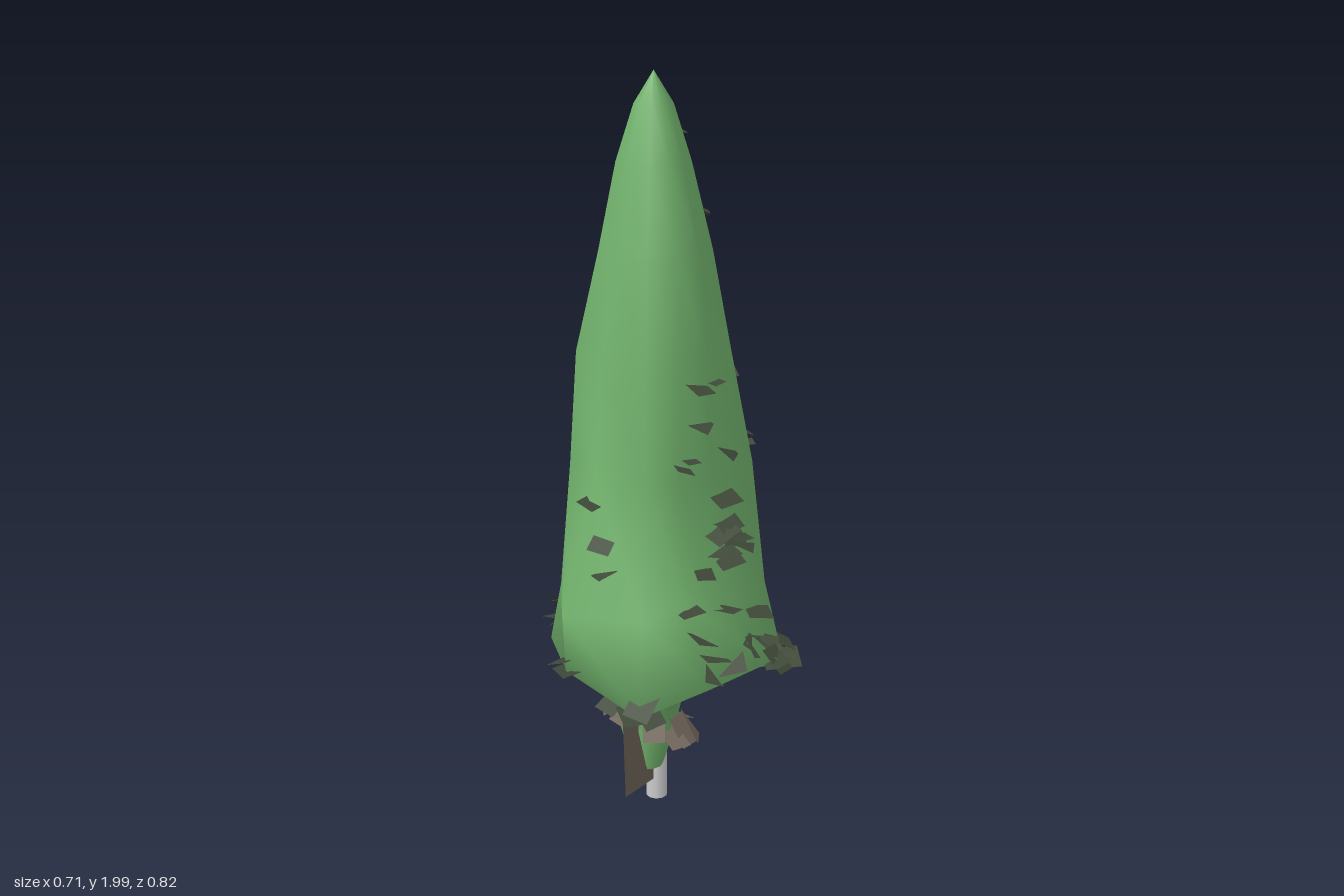
import * as THREE from 'three';
import { mergeGeometries } from 'three/addons/utils/BufferGeometryUtils.js';

// Column directions in degrees, from +z towards +x
const ANGLES = [18, 58, 90, 122, 148, 180, 208, 240, 282, 322, 350];
const COLS = ANGLES.length;

// Foliage sections, top to bottom: height, then one radius for a round section or one per column
const RINGS = [
  [2.0, 0],
  [1.92, .05],
  [1.78, .095],
  [1.56, .15, .15, .16, .15, .14, .13, .14, .14, .13, .16, .15],
  [1.3, .18, .2, .22, .2, .19, .18, .2, .2, .185, .2, .175],
  [1.0, .185, .26, .29, .26, .23, .2, .21, .22, .21, .22, .18],
  [.66, .2, .3, .29, .31, .25, .24, .24, .25, .33, .3, .2],
  [.5, .41, .36, .3, .32, .285, .35, .31, .28, .32, .4, .365],
  [.39, .17],
  [.36, .09],
  [.25, .08],
  [.12, .045],
];
const SKIRT = 7; // ring whose hem rises and falls
const HEM = [.05, -.09, -.05, .12, 0, .03, -.05, 0, 0, -.05, 0];

function ringPoint(row, col) {
  const a = THREE.MathUtils.degToRad(ANGLES[col]);
  const [y, ...radii] = RINGS[row];
  const r = radii[col] ?? radii[0];
  const shift = y < 0.3 ? -0.02 : 0; // the lower stem leans to one side
  return new THREE.Vector3(r * Math.sin(a) + shift, y + (row === SKIRT ? HEM[col] : 0), r * Math.cos(a));
}

// Point on the foliage at a height and a direction in degrees
function surfacePoint(y, degrees) {
  const deg = (degrees + 360) % 360;
  const next = ANGLES.findIndex((a) => a > deg);
  const j = next < 0 ? 0 : next, i = (j + COLS - 1) % COLS;
  const f = ((deg - ANGLES[i] + 360) % 360) / ((ANGLES[j] - ANGLES[i] + 360) % 360);
  const at = (row) => ringPoint(row, i).lerp(ringPoint(row, j), f);
  for (let row = 0; row < SKIRT; row++) {
    const a = at(row), b = at(row + 1);
    if (y >= b.y) return a.lerp(b, (a.y - y) / (a.y - b.y));
  }
  return at(SKIRT);
}

function foliageGeometry() {
  const positions = [], index = [];
  RINGS.forEach((_, row) => {
    for (let i = 0; i < COLS; i++) positions.push(...ringPoint(row, i).toArray());
  });
  for (let row = 0; row < RINGS.length - 1; row++) {
    for (let i = 0; i < COLS; i++) {
      const j = (i + 1) % COLS;
      const a = row * COLS + i, b = a + COLS, c = (row + 1) * COLS + j, d = row * COLS + j;
      index.push(a, b, c);
      if (row > 0) index.push(a, c, d);
    }
  }
  const geometry = new THREE.BufferGeometry();
  geometry.setAttribute('position', new THREE.Float32BufferAttribute(positions, 3));
  geometry.setIndex(index);
  geometry.computeVertexNormals();
  return geometry;
}

// Upright flat quad between two ground points
function plank(a, b, bottomA, bottomB, top) {
  const geometry = new THREE.BufferGeometry();
  geometry.setAttribute('position', new THREE.Float32BufferAttribute([
    a[0], bottomA, a[1], b[0], bottomB, b[1], b[0], top, b[1], a[0] - 0.01, top, a[1]], 3));
  geometry.setIndex([0, 1, 2, 0, 2, 3]);
  geometry.computeVertexNormals();
  return geometry;
}

export function createModel() {
  const group = new THREE.Group();
  const material = (name, color, side = THREE.FrontSide) => {
    const m = new THREE.MeshStandardMaterial({ color, side });
    m.name = name;
    return m;
  };
  const green = material('foliage green', 0x72b36d, THREE.DoubleSide);
  const dark = material('dark leaf', 0x3f4938, THREE.DoubleSide);
  const brown = material('bark brown', 0x70655a, THREE.DoubleSide);
  const grey = material('trunk grey', 0xcccccc);
  const add = (name, geometry, mat) => {
    const mesh = new THREE.Mesh(geometry, mat);
    mesh.name = name;
    group.add(mesh);
  };

  let seed = 7;
  const random = () => {
    seed = (seed * 16807) % 2147483647;
    return seed / 2147483647;
  };
  const between = (a, b) => a + (b - a) * random();

  add('foliage', foliageGeometry(), green);

  // Trunk
  add('trunk', new THREE.CylinderGeometry(0.03, 0.03, 0.4, 10).translate(0.01, 0.21, 0), grey);

  // Bark planks beside the trunk
  add('leftPlank', plank([-0.13, 0.06], [-0.02, 0.03], 0.07, 0.08, 0.38), brown);
  add('rightPlank', plank([0.04, -0.07], [0.09, -0.14], 0.02, 0.01, 0.32), brown);

  // Flat leaf cards: count, angle range in degrees, height range, size
  const clusters = [
    [46, 85, 185, 0.7, 1.95, 0.075],
    [24, 80, 195, 0.42, 0.85, 0.085],
    [12, 165, 215, 0.4, 0.6, 0.1],
    [15, -15, 45, 0.58, 0.95, 0.09],
    [6, -20, 35, 0.95, 1.3, 0.07],
    [9, -8, 30, 0.5, 0.6, 0.08],
    [6, 265, 300, 0.45, 1.05, 0.07],
    [4, 305, 330, 0.42, 0.5, 0.08],
    [4, 52, 72, 0.38, 0.5, 0.085],
  ];
  const leaves = [];
  const leaf = (p, angle, s) => leaves.push(new THREE.PlaneGeometry(s * 0.8, s)
    .rotateX(-Math.PI / 2 + between(-0.1, 0.75))
    .rotateZ(between(-0.4, 0.4))
    .rotateY(angle + between(-0.6, 0.6))
    .translate(p.x, p.y, p.z));
  for (const [count, a0, a1, y0, y1, size] of clusters) {
    for (let i = 0; i < count; i++) {
      const degrees = between(a0, a1);
      const p = surfacePoint(between(y0, y1), degrees);
      leaf(p, THREE.MathUtils.degToRad(degrees), size * between(0.75, 1.2) * (p.y > 1.7 ? 0.6 : 1));
    }
  }
  // Leaves hanging under the back of the skirt
  for (let i = 0; i < 8; i++) {
    const angle = between(2.5, 3.7), r = between(0.2, 0.31);
    leaf(new THREE.Vector3(r * Math.sin(angle), between(0.32, 0.42), r * Math.cos(angle)), angle, 0.08);
  }
  add('leafCards', mergeGeometries(leaves), dark);

  // Small bark scraps under the skirt
  const scraps = [];
  for (let i = 0; i < 10; i++) {
    const angle = i * 2.4;
    scraps.push(new THREE.PlaneGeometry(0.06, 0.09)
      .rotateX(-Math.PI / 2 + between(0.3, 1.0))
      .rotateY(angle)
      .translate(0.1 * Math.sin(angle), between(0.22, 0.37), 0.1 * Math.cos(angle)));
  }
  add('barkScraps', mergeGeometries(scraps), brown);

  return group;
}
